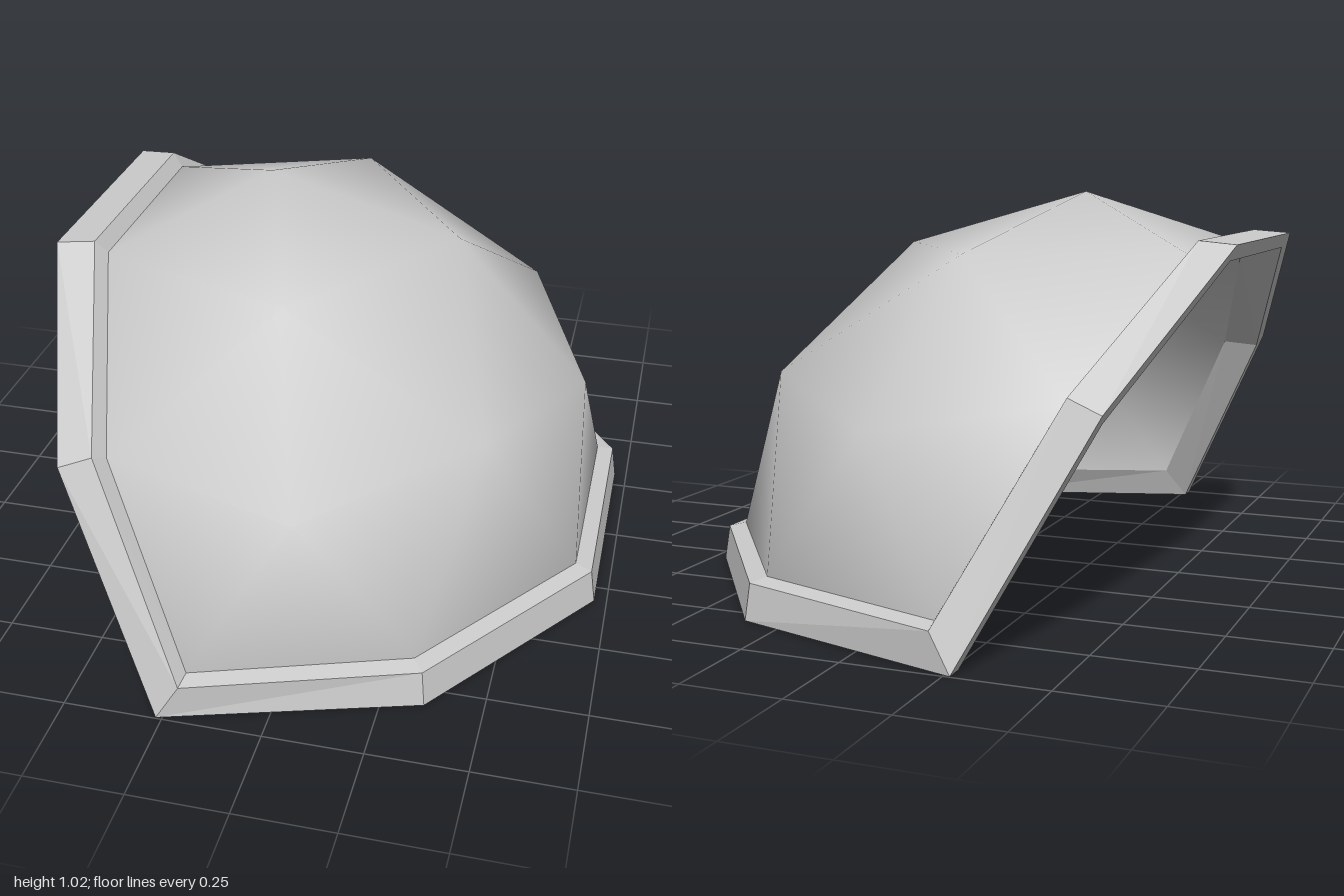
import * as THREE from 'three';

const T = (1 + Math.sqrt(5)) / 2;
const N = Math.hypot(1, T);
const MITRE = N / T; // lengthens offsets where the two cut planes meet

// Move a unit point of a cut plane to radius r and offset h into the shell
function onCut(v, r, h) {
  if (Math.hypot(v.x, v.y) < 0.01) return new THREE.Vector3(0, h * MITRE, v.z * r);
  const side = Math.sign(v.x);
  return v.clone().multiplyScalar(r).add(new THREE.Vector3(-side / N, T / N, 0).multiplyScalar(h));
}

// Wedge of a once-divided icosahedron between two decagon planes
function shellGeometry(radius, edgeR, edgeH, inward) {
  const src = new THREE.IcosahedronGeometry(1, 1).attributes.position;
  const pos = [], nor = [];
  for (let i = 0; i < src.count; i += 3) {
    const tri = [0, 1, 2].map(k => new THREE.Vector3().fromBufferAttribute(src, i + k));
    const c = tri[0].clone().add(tri[1]).add(tri[2]);
    if (T * c.y < Math.abs(c.x)) continue;
    if (inward) tri.reverse();
    for (const v of tri) {
      const onEdge = Math.abs(T * v.y - Math.abs(v.x)) < 0.01;
      const p = onEdge ? onCut(v, edgeR, edgeH) : v.clone().multiplyScalar(radius);
      pos.push(p.x, p.y, p.z);
      const n = v.clone().normalize().multiplyScalar(inward ? -1 : 1);
      nor.push(n.x, n.y, n.z);
    }
  }
  const g = new THREE.BufferGeometry();
  g.setAttribute('position', new THREE.Float32BufferAttribute(pos, 3));
  g.setAttribute('normal', new THREE.Float32BufferAttribute(nor, 3));
  return g;
}

// Bevelled band swept round the ten-cornered open edge
function rimGeometry() {
  const profile = [[0.937, 0.045], [0.983, 0.035], [0.997, -0.056], [0.95, -0.056], [0.9, 0.03]];
  const corners = [];
  const add = (deg, side) => {
    const a = THREE.MathUtils.degToRad(deg);
    corners.push(new THREE.Vector3(side * Math.cos(a) * T / N, Math.cos(a) / N, Math.sin(a)));
  };
  [90, 54, 18, -18, -54, -90].forEach(d => add(d, 1));
  [-54, -18, 18, 54].forEach(d => add(d, -1));

  const pos = [], index = [];
  const n = profile.length;
  for (const c of corners) {
    // the raised front lip reaches slightly further out
    const lip = c.x < -0.7 ? 0.025 : 0;
    profile.forEach(([r, h], j) => pos.push(...onCut(c, r + (j === 2 || j === 3 ? lip : 0), h).toArray()));
  }
  for (let i = 0; i < corners.length; i++) {
    const k = (i + 1) % corners.length;
    for (let j = 0; j < n - 1; j++) {
      const a = i * n + j, b = k * n + j;
      index.push(a, a + 1, b, b, a + 1, b + 1);
    }
  }
  const g = new THREE.BufferGeometry();
  g.setAttribute('position', new THREE.Float32BufferAttribute(pos, 3));
  g.setIndex(index);
  const flat = g.toNonIndexed();
  flat.computeVertexNormals();
  return flat;
}

export function createModel() {
  const smooth = new THREE.MeshStandardMaterial({ color: 0xcccccc });
  const faceted = new THREE.MeshStandardMaterial({ color: 0xcccccc, flatShading: true });
  const shell = new THREE.Group();
  shell.name = 'domeShell';
  const part = (name, geometry, material) => {
    const m = new THREE.Mesh(geometry, material);
    m.name = name;
    shell.add(m);
  };
  part('outerDome', shellGeometry(0.96, 0.937, 0.045, false), smooth);
  part('innerDome', shellGeometry(0.92, 0.9, 0.03, true), smooth);
  part('rim', rimGeometry(), faceted);

  // Lay one cut plane on the ground
  shell.rotation.z = -Math.atan2(1, T);
  shell.position.set(-0.231, 0.056, 0);
  const model = new THREE.Group();
  model.name = 'openDome';
  model.add(shell);
  return model;
}
